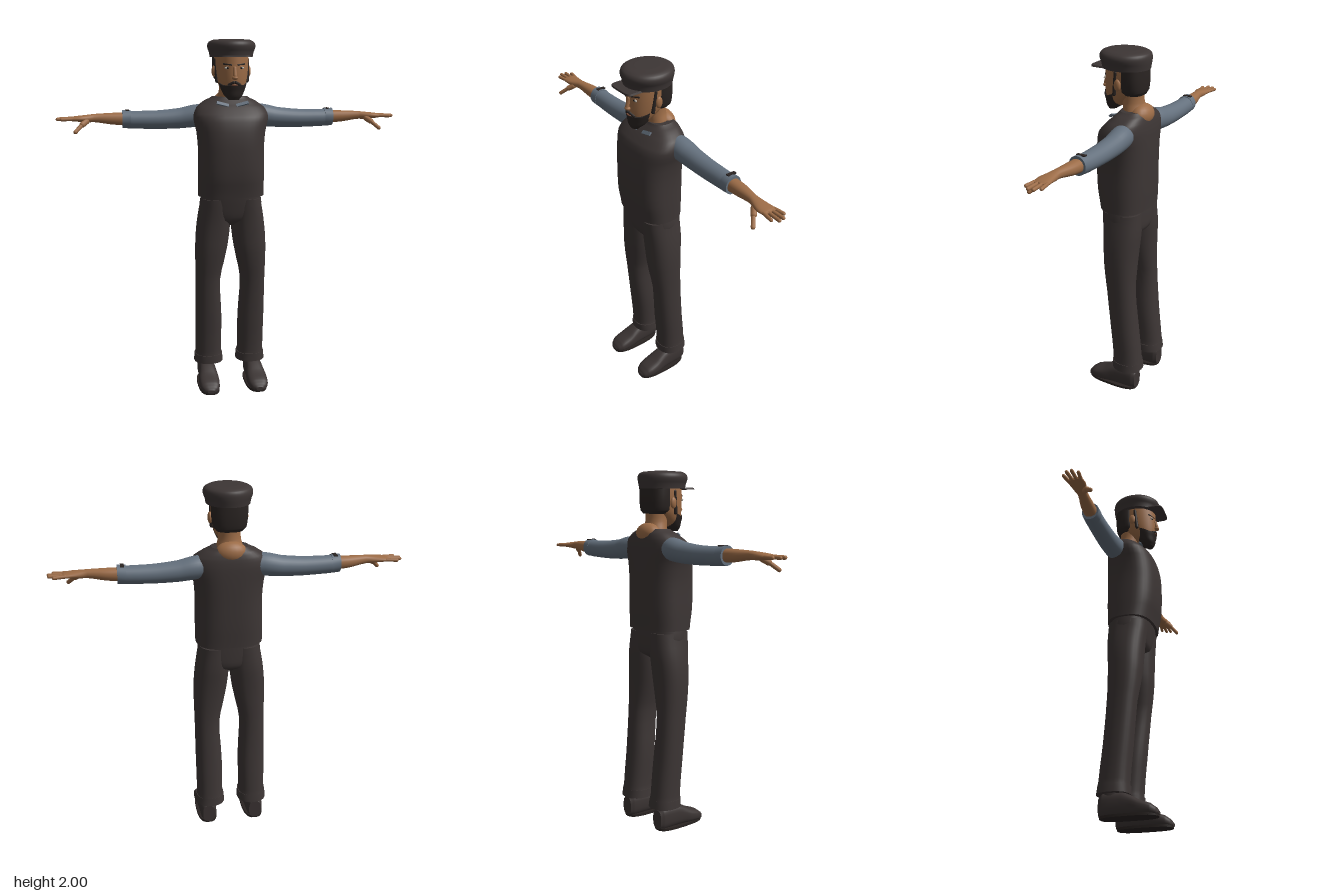
import * as THREE from 'three';

const mat = (name, color) => Object.assign(new THREE.MeshStandardMaterial({ color }), { name });

// Uniform Catmull-Rom between b and c
const spline = (a, b, c, d, t) =>
  b + 0.5 * t * (c - a + t * (2 * a - 5 * b + 4 * c - d + t * (3 * (b - c) + d - a)));

// Smooth skin over rings [t, cu, cv, ru, rv], t ascending along the axis.
// Axis y: u = x, v = z.  Axis x: u = z, v = y.  Axis z: u = y, v = x.
function loft(rings, { axis = 'y', n = 2, sides = 28, sub = 3 } = {}) {
  const rows = [];
  rings.forEach((r, i) => {
    if (i === rings.length - 1) return rows.push(r);
    const a = rings[Math.max(i - 1, 0)], c = rings[i + 1], d = rings[Math.min(i + 2, rings.length - 1)];
    for (let s = 0; s < sub; s++) {
      rows.push(r.map((b, k) => (k === 0 ? b + (c[0] - b) * s / sub : spline(a[k], b, c[k], d[k], s / sub))));
    }
  });
  const pos = [], idx = [];
  const put = (t, u, v) => pos.push(...(axis === 'y' ? [u, t, v] : axis === 'x' ? [t, v, u] : [v, u, t]));
  const power = (w) => Math.sign(w) * Math.abs(w) ** (2 / n);
  const ring = ([t, cu, cv, ru, rv]) => {
    for (let j = 0; j < sides; j++) {
      const a = (j / sides) * Math.PI * 2;
      put(t, cu + ru * power(Math.cos(a)), cv + rv * power(Math.sin(a)));
    }
  };
  rows.forEach(ring);
  for (let i = 0; i < rows.length - 1; i++) {
    for (let j = 0; j < sides; j++) {
      const a = i * sides + j, b = i * sides + (j + 1) % sides;
      idx.push(a, a + sides, b, b, a + sides, b + sides);
    }
  }
  // Hard-edged end caps
  [rows[0], rows[rows.length - 1]].forEach((r, end) => {
    const start = pos.length / 3;
    ring(r);
    put(r[0], r[1], r[2]);
    for (let j = 0; j < sides; j++) {
      const p = start + j, q = start + (j + 1) % sides;
      idx.push(start + sides, end ? q : p, end ? p : q);
    }
  });
  const g = new THREE.BufferGeometry();
  g.setAttribute('position', new THREE.Float32BufferAttribute(pos, 3));
  g.setIndex(idx);
  g.computeVertexNormals();
  return g;
}

const ball = (x, y, z, rx, ry, rz) => new THREE.SphereGeometry(1, 20, 14).scale(rx, ry, rz).translate(x, y, z);

// Rounded rod between two points
function rod(from, to, r) {
  const a = new THREE.Vector3(...from), b = new THREE.Vector3(...to), d = b.clone().sub(a);
  const q = new THREE.Quaternion().setFromUnitVectors(new THREE.Vector3(0, 1, 0), d.clone().normalize());
  const mid = a.add(b).multiplyScalar(0.5);
  return new THREE.CapsuleGeometry(r, Math.max(d.length() - 2 * r, 0.001), 5, 10).applyQuaternion(q).translate(mid.x, mid.y, mid.z);
}

function mirrored(geo) {
  const g = geo.clone().scale(-1, 1, 1), ix = g.index;
  for (let i = 0; i < ix.count; i += 3) {
    const t = ix.getX(i);
    ix.setX(i, ix.getX(i + 1));
    ix.setX(i + 1, t);
  }
  return g;
}

export function createModel() {
  const model = new THREE.Group();
  model.name = 'manInCap';
  const cloth = mat('dark cloth', 0x3d3635), shoe = mat('shoe leather', 0x3b3433), hair = mat('hair', 0x2a2422);
  const skin = mat('skin', 0x9c6c47), shirt = mat('shirt', 0x64707d), lip = mat('lips', 0x7c4c38);
  const white = mat('eye white', 0xb9b2a8), iris = mat('iris', 0x1d1917);

  const add = (name, geo, material) => {
    const m = new THREE.Mesh(geo, material);
    m.name = name;
    model.add(m);
  };
  const pair = (name, geo, material) => {
    add(name + 'Left', geo, material);
    add(name + 'Right', mirrored(geo), material);
  };

  // Vest
  add('vest', loft([
    [1.135, 0, -0.022, 0.186, 0.132], [1.25, 0, -0.014, 0.186, 0.145], [1.4, 0, -0.012, 0.184, 0.148],
    [1.5, 0, -0.016, 0.193, 0.144], [1.58, 0, -0.026, 0.211, 0.132], [1.63, 0, -0.045, 0.192, 0.107],
    [1.665, 0, -0.058, 0.145, 0.084], [1.688, 0, -0.06, 0.1, 0.068]], { n: 2.6, sides: 40 }), cloth);
  pair('collarTip', new THREE.BoxGeometry(0.07, 0.02, 0.008).rotateX(-0.8).rotateZ(0.25).translate(0.055, 1.65, 0.046), shirt);

  // Trousers and cuffs
  add('trouserSeat', loft([
    [0.965, 0, -0.03, 0.04, 0.05], [1.0, 0, -0.032, 0.13, 0.098], [1.06, 0, -0.028, 0.176, 0.11],
    [1.16, 0, -0.02, 0.168, 0.118]], { n: 2.4 }), cloth);
  pair('trouserLeg', loft([
    [0.13, 0.125, -0.087, 0.082, 0.088], [0.2, 0.126, -0.083, 0.075, 0.083], [0.4, 0.126, -0.064, 0.076, 0.081],
    [0.64, 0.131, -0.044, 0.071, 0.083], [0.8, 0.116, -0.033, 0.088, 0.094], [0.9, 0.106, -0.032, 0.095, 0.1],
    [1.0, 0.096, -0.032, 0.094, 0.107], [1.12, 0.086, -0.025, 0.085, 0.112]], { n: 2.3 }), cloth);
  pair('trouserCuff', loft([[0.128, 0.125, -0.087, 0.085, 0.09], [0.175, 0.125, -0.084, 0.081, 0.087]], { n: 2.3, sub: 1 }), cloth);

  // Shoes
  pair('shoe', loft([
    [-0.155, 0.062, 0.14, 0.054, 0.036], [-0.13, 0.07, 0.14, 0.068, 0.046], [-0.03, 0.068, 0.14, 0.066, 0.05],
    [0.01, 0.06, 0.14, 0.058, 0.053], [0.06, 0.046, 0.141, 0.044, 0.059], [0.12, 0.035, 0.142, 0.032, 0.055],
    [0.148, 0.025, 0.142, 0.021, 0.04], [0.16, 0.02, 0.142, 0.01, 0.02]], { axis: 'z', n: 2.7 }), shoe);
  pair('ankle', loft([[0.08, 0.14, -0.09, 0.044, 0.062], [0.2, 0.135, -0.09, 0.042, 0.055]], { sub: 1 }), shoe);
  pair('sole', loft([[0, 0.14, 0.002, 0.06, 0.156], [0.014, 0.14, 0.002, 0.06, 0.157]], { n: 2.8, sub: 1 }), hair);

  // Sleeves with rolled cuffs
  pair('sleeve', loft([
    [0.13, -0.07, 1.585, 0.06, 0.062], [0.2, -0.077, 1.58, 0.062, 0.063], [0.28, -0.08, 1.568, 0.057, 0.057],
    [0.4, -0.08, 1.561, 0.053, 0.052], [0.54, -0.08, 1.562, 0.049, 0.049], [0.59, -0.079, 1.565, 0.047, 0.048]], { axis: 'x' }), shirt);
  pair('sleeveCuff', loft([[0.553, -0.079, 1.565, 0.05, 0.051], [0.6, -0.078, 1.567, 0.048, 0.05]], { axis: 'x', sub: 1 }), shirt);
  pair('cuffTab', new THREE.BoxGeometry(0.02, 0.006, 0.05).translate(0.572, 1.615, -0.085), hair);

  // Forearms, hands and fingers
  pair('forearmAndHand', loft([
    [0.57, -0.078, 1.567, 0.037, 0.036], [0.66, -0.075, 1.57, 0.035, 0.032], [0.75, -0.065, 1.575, 0.026, 0.023],
    [0.79, -0.06, 1.573, 0.033, 0.021], [0.83, -0.057, 1.573, 0.041, 0.017], [0.87, -0.06, 1.572, 0.042, 0.013],
    [0.885, -0.06, 1.572, 0.036, 0.008]], { axis: 'x', n: 2.2, sides: 20 }), skin);
  [[-0.091, 0.932, -0.103], [-0.071, 0.957, -0.076], [-0.05, 0.96, -0.047], [-0.03, 0.936, -0.018]].forEach(([z0, x1, z1], i) =>
    pair('finger' + (i + 1), rod([0.855, 1.573, z0], [x1, 1.571, z1], 0.0095), skin));
  pair('thumbBase', rod([0.785, 1.567, -0.045], [0.828, 1.535, -0.005], 0.016), skin);
  pair('thumb', rod([0.81, 1.55, -0.02], [0.862, 1.5, 0.026], 0.011), skin);

  // Neck, nape and head
  add('neck', loft([
    [1.62, 0, -0.06, 0.088, 0.072], [1.685, 0, -0.055, 0.072, 0.062], [1.73, 0, -0.044, 0.061, 0.06],
    [1.8, 0, -0.04, 0.062, 0.062]]), skin);
  add('nape', ball(0, 1.662, -0.1, 0.085, 0.06, 0.056), skin);
  add('head', loft([
    [1.685, 0, 0.075, 0.028, 0.024], [1.7, 0, 0.06, 0.046, 0.045], [1.74, 0, 0.034, 0.068, 0.077],
    [1.78, 0, 0.013, 0.082, 0.103], [1.83, 0, 0.004, 0.09, 0.113], [1.88, 0, 0.001, 0.093, 0.115],
    [1.93, 0, 0, 0.092, 0.115]], { sides: 36 }), skin);
  add('hair', loft([
    [1.77, 0, -0.054, 0.07, 0.055], [1.79, 0, -0.053, 0.089, 0.066], [1.85, 0, -0.053, 0.097, 0.07],
    [1.92, 0, -0.052, 0.097, 0.07]], { n: 2.4 }), hair);
  pair('ear', ball(0.097, 1.828, -0.002, 0.012, 0.031, 0.02), skin);
  pair('sideburn', rod([0.088, 1.9, 0.012], [0.083, 1.765, 0.026], 0.0105), hair);

  // Beard, rising from the chin to the ears
  const beard = loft([
    [1.674, 0, 0.08, 0.028, 0.022], [1.695, 0, 0.062, 0.05, 0.05], [1.725, 0, 0.046, 0.067, 0.07],
    [1.752, 0, 0.04, 0.077, 0.082]], { sides: 36 });
  const bp = beard.attributes.position;
  for (let i = 0; i < bp.count; i++) {
    const lift = (bp.getY(i) - 1.674) / 0.08 * Math.max(0, 0.09 - bp.getZ(i));
    bp.setY(i, bp.getY(i) + 0.4 * lift);
  }
  beard.computeVertexNormals();
  add('beard', beard, hair);
  pair('moustache', rod([0, 1.773, 0.12], [0.036, 1.753, 0.105], 0.008), hair);
  add('mouth', ball(0, 1.755, 0.117, 0.018, 0.005, 0.008), lip);

  // Nose, eyes and brows
  add('noseBridge', rod([0, 1.855, 0.112], [0, 1.795, 0.129], 0.0105), skin);
  add('noseTip', ball(0, 1.794, 0.124, 0.017, 0.011, 0.016), skin);
  pair('eye', ball(0.038, 1.846, 0.104, 0.016, 0.007, 0.007), white);
  pair('pupil', ball(0.037, 1.846, 0.109, 0.006, 0.006, 0.004), iris);
  pair('brow', rod([0.014, 1.862, 0.114], [0.06, 1.868, 0.089], 0.0055), hair);

  // Cap
  add('cap', loft([
    [1.905, 0, -0.002, 0.118, 0.132], [1.932, 0, -0.002, 0.123, 0.136], [1.95, 0, 0, 0.13, 0.14],
    [1.968, 0, 0.001, 0.132, 0.141], [1.985, 0, 0, 0.124, 0.134], [1.996, 0, 0, 0.103, 0.113],
    [2, 0, 0, 0.06, 0.07]], { sides: 40 }), cloth);
  add('capPeak', loft([[1.903, 0, 0.12, 0.084, 0.058], [1.912, 0, 0.12, 0.08, 0.057]], { n: 5, sub: 1 }), cloth);
  return model;
}
